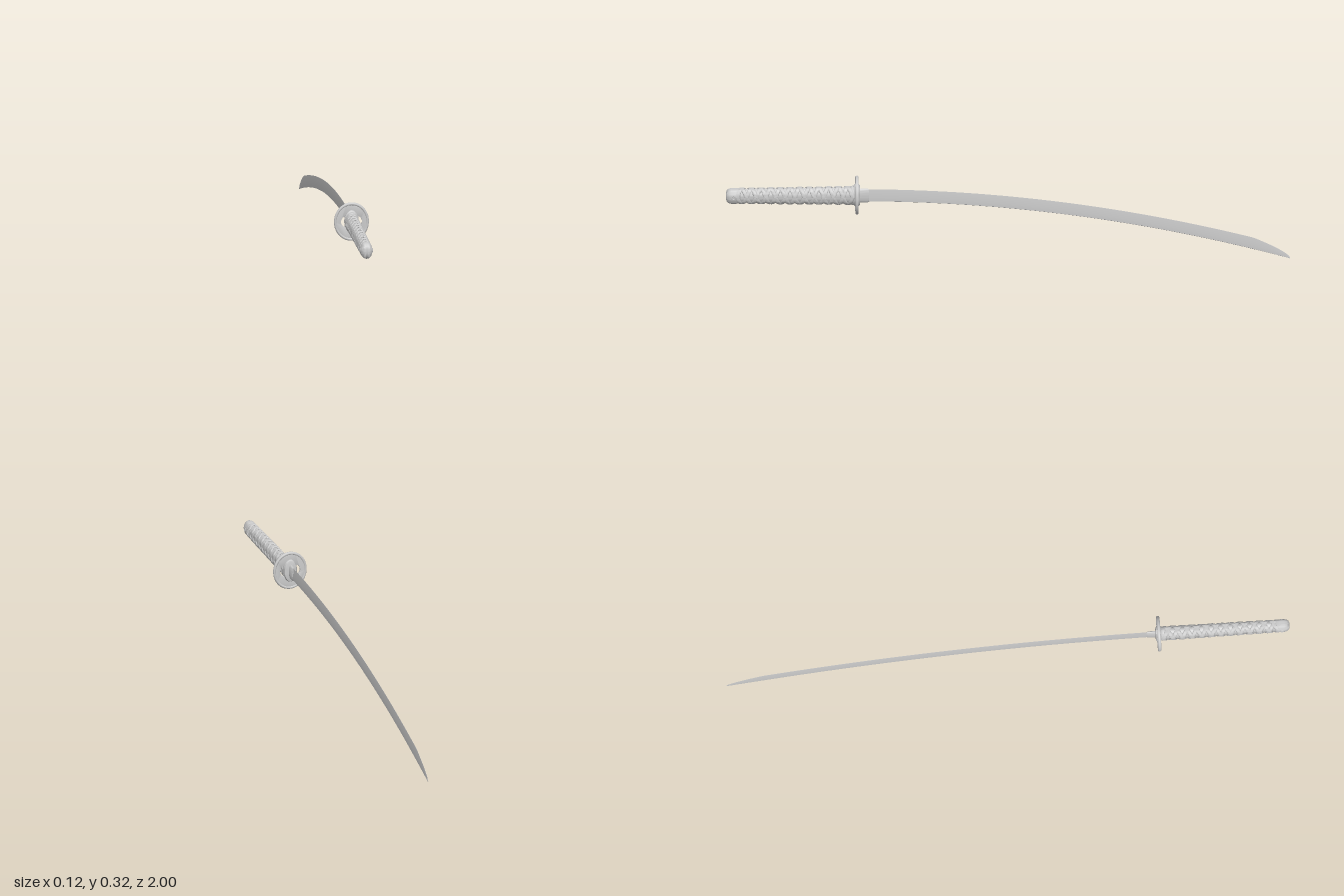
import * as THREE from 'three';
import { toCreasedNormals } from 'three/addons/utils/BufferGeometryUtils.js';

const material = new THREE.MeshStandardMaterial({ color: 0xcccccc, roughness: 0.6 });
const AXIS_Y = 0.249;

// Skin a list of equal-length closed rings, closing both ends at their centres
function loft(rings, crease = 0.6) {
  const centre = r => {
    const c = r.reduce((s, p) => s.add(p), new THREE.Vector3()).divideScalar(r.length);
    return r.map(() => c);
  };
  const all = [centre(rings[0]), ...rings, centre(rings[rings.length - 1])];
  const n = rings[0].length, pos = [], index = [];
  all.forEach(r => r.forEach(p => pos.push(p.x, p.y, p.z)));
  for (let i = 0; i < all.length - 1; i++) {
    for (let j = 0; j < n; j++) {
      const k = (j + 1) % n, a = i * n + j, b = i * n + k, c = a + n, d = b + n;
      if (i > 0) index.push(a, b, c);
      if (i === 0) index.push(a, d, c);
      else if (i < all.length - 2) index.push(b, d, c);
    }
  }
  const g = new THREE.BufferGeometry();
  g.setAttribute('position', new THREE.Float32BufferAttribute(pos, 3));
  g.setIndex(index);
  return toCreasedNormals(g, crease);
}

// Oval ring across the sword's axis
function oval(rx, ry, z, y = AXIS_Y, n = 28) {
  return Array.from({ length: n }, (_, j) => {
    const a = j / n * Math.PI * 2;
    return new THREE.Vector3(rx * Math.cos(a), y + ry * Math.sin(a), z);
  });
}

function add(group, name, geometry) {
  const mesh = new THREE.Mesh(geometry, material);
  mesh.name = name;
  group.add(mesh);
  return mesh;
}

const spineY = z => 0.226 - 0.0932 * (0.55 - z) ** 2;

// Curved blade: flat spine below, ridge on each side, cutting edge above
function bladeGeometry() {
  const rings = [];
  for (let i = 0; i <= 90; i++) {
    const t = i / 90;
    const z = -0.9995 + 1.53 * Math.pow(t, 1.4);
    const point = Math.min(1, Math.sqrt((1 + z) / 0.13));
    const h = (0.043 + 0.003 * t) * point;
    const w = 0.0028 * (0.75 + 0.25 * t) * (0.3 + 0.7 * point);
    const y = spineY(z);
    rings.push([[w, 0.36], [0.0002, 1], [-0.0002, 1], [-w, 0.36], [-w * 0.7, 0.03], [0, 0], [w * 0.7, 0.03]]
      .map(([x, v]) => new THREE.Vector3(x, y + v * h, z)));
  }
  return loft(rings, 0.25);
}

// Handle radii taper slightly toward the pommel
const gripZ = t => 0.55 + 0.41 * t;
const gripX = t => 0.0185 - 0.002 * t;
const gripY = t => 0.0305 - 0.0055 * t;

// Flat cord wound round the oval grip
function cordGeometry(phase, sign) {
  const rings = [], steps = 190, turns = 6;
  for (let i = 0; i <= steps; i++) {
    const t = i / steps, a = phase + sign * t * turns * Math.PI * 2;
    rings.push(Array.from({ length: 10 }, (_, j) => {
      const b = j / 10 * Math.PI * 2;
      const lift = 0.0015 + 0.0015 * Math.abs(Math.cos(a)) + 0.003 * Math.cos(b);
      return new THREE.Vector3(
        (gripX(t) + lift) * Math.cos(a),
        AXIS_Y + (gripY(t) + lift) * Math.sin(a),
        gripZ(t) - sign * 0.0085 * Math.sin(b));
    }));
  }
  return loft(rings, 1.2);
}

// Oval guard plate with an opening on each side
function guardGeometry() {
  const shape = new THREE.Shape().absellipse(0, 0, 0.06, 0.067, 0, Math.PI * 2);
  for (const s of [-1, 1]) {
    const hole = new THREE.Path();
    hole.moveTo(s * 0.022, -0.02);
    hole.quadraticCurveTo(s * 0.032, -0.019, s * 0.034, -0.012);
    hole.quadraticCurveTo(s * 0.043, 0, s * 0.034, 0.012);
    hole.quadraticCurveTo(s * 0.032, 0.019, s * 0.022, 0.02);
    hole.quadraticCurveTo(s * 0.027, 0, s * 0.022, -0.02);
    shape.holes.push(hole);
  }
  const g = new THREE.ExtrudeGeometry(shape, {
    depth: 0.005, bevelThickness: 0.0012, bevelSize: 0.001, bevelSegments: 2, curveSegments: 40,
  });
  return toCreasedNormals(g.translate(0, 0, -0.0025), 0.6);
}

export function createModel() {
  const model = new THREE.Group();
  model.name = 'sword';

  add(model, 'blade', bladeGeometry());

  // Collar at the root of the blade
  add(model, 'bladeCollar', loft([
    oval(0.004, 0.024, 0.492, 0.248), oval(0.0065, 0.026, 0.497, 0.248), oval(0.008, 0.027, 0.535),
  ]));

  // Guard with raised rim and oval washers
  const guard = new THREE.Group();
  guard.name = 'guard';
  guard.position.set(0, 0.25, 0.535);
  model.add(guard);
  add(guard, 'guardPlate', guardGeometry());
  add(guard, 'guardRim', new THREE.TorusGeometry(0.0575, 0.005, 10, 56)).scale.set(1, 1.118, 1.2);
  add(guard, 'washers', loft([
    oval(0.018, 0.034, -0.011, 0), oval(0.022, 0.039, -0.0095, 0), oval(0.025, 0.042, -0.004, 0),
    oval(0.025, 0.042, 0.006, 0), oval(0.022, 0.039, 0.0085, 0), oval(0.02, 0.036, 0.013, 0),
  ]));

  // Handle core, ferrule and rounded pommel
  const handle = new THREE.Group();
  handle.name = 'handle';
  model.add(handle);
  add(handle, 'gripCore', loft([0, 0.25, 0.5, 0.75, 1].map(t => oval(gripX(t), gripY(t), gripZ(t)))));
  add(handle, 'ferrule', loft([
    oval(0.021, 0.034, 0.538), oval(0.0225, 0.0355, 0.541), oval(0.0225, 0.0355, 0.553), oval(0.02, 0.033, 0.557),
  ]));
  add(handle, 'pommel', loft([
    [0.0175, 0.026, 0.948], [0.021, 0.0285, 0.951], [0.0215, 0.029, 0.965], [0.0215, 0.029, 0.98],
    [0.0195, 0.0265, 0.99], [0.015, 0.021, 0.996], [0.008, 0.011, 0.9993],
  ].map(([rx, ry, z]) => oval(rx, ry, z)), 0.9));

  // Criss-cross cord binding
  for (const phase of [0, Math.PI]) {
    for (const sign of [-1, 1]) add(handle, 'cordWrap', cordGeometry(phase, sign));
  }

  // Cord eyelets on both sides of the pommel
  for (const s of [-1, 1]) {
    const eyelet = add(handle, 'eyelet', new THREE.TorusGeometry(0.0065, 0.0018, 8, 20));
    eyelet.position.set(s * 0.0212, AXIS_Y, 0.972);
    eyelet.rotation.y = Math.PI / 2;
  }
  return model;
}
